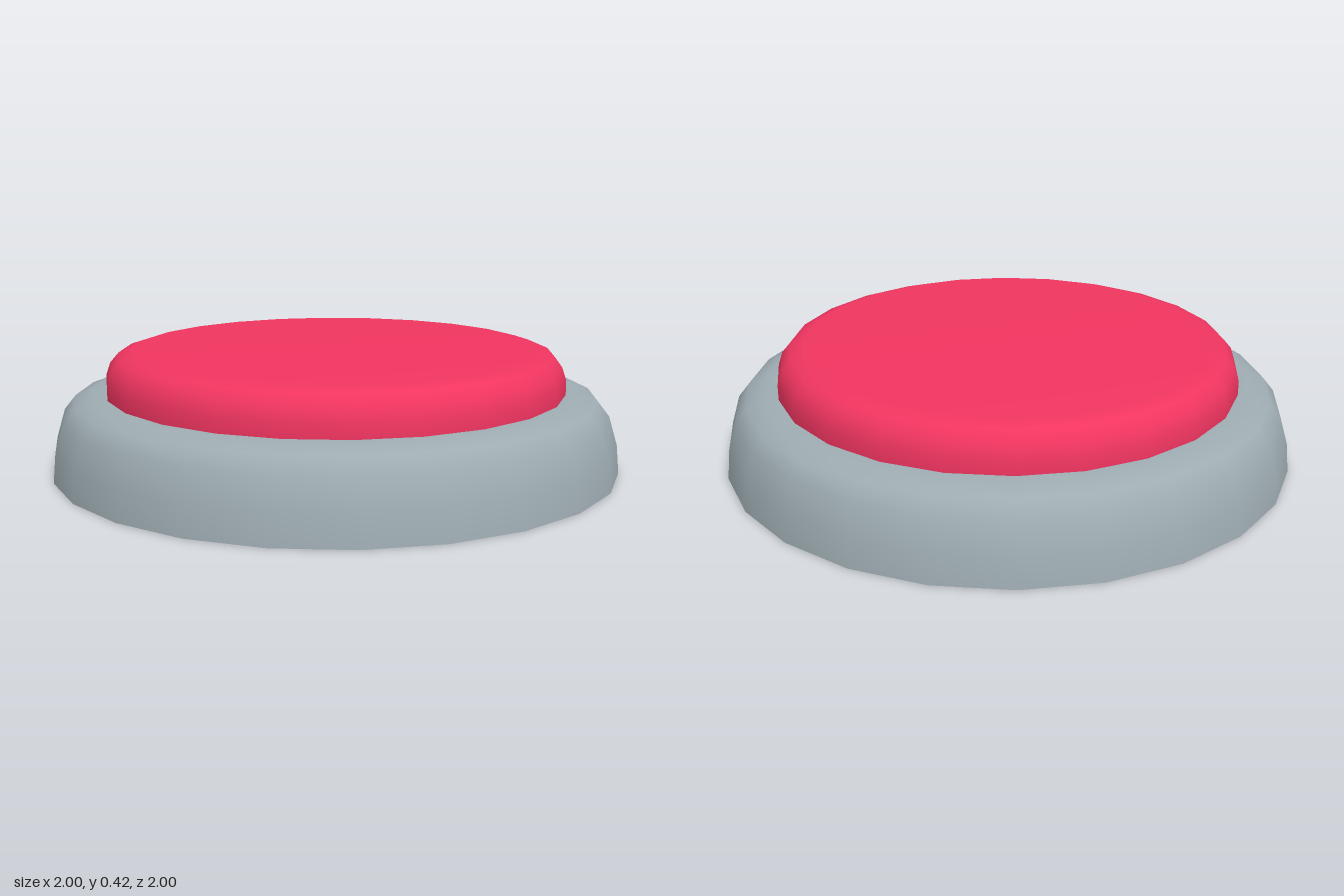
import * as THREE from 'three';

const SIDES = 24;

function lathe(name, profile, material) {
  const points = profile.map(([r, y]) => new THREE.Vector2(r, y));
  const mesh = new THREE.Mesh(new THREE.LatheGeometry(points, SIDES), material);
  mesh.name = name;
  return mesh;
}

export function createModel() {
  const group = new THREE.Group();
  group.name = 'pushButton';

  const grey = new THREE.MeshStandardMaterial({ color: 0x9eacb2, side: THREE.DoubleSide });
  const red = new THREE.MeshStandardMaterial({ color: 0xf03560 });

  // Housing: thin open shell with a rounded shoulder
  group.add(lathe('housing', [
    [1, 0], [0.99, 0.1], [0.96, 0.2], [0.92, 0.25], [0.86, 0.27], [0.8, 0.27],
  ], grey));

  // Cap: straight side, rounded edge, flat top
  group.add(lathe('cap', [
    [0.81, 0.27], [0.81, 0.32], [0.795, 0.365], [0.765, 0.4], [0.71, 0.418], [0, 0.418],
  ], red));

  // Flat underside of the cap, seen through the open housing
  const underside = new THREE.Mesh(new THREE.CircleGeometry(0.81, SIDES), red);
  underside.name = 'capUnderside';
  underside.rotation.x = Math.PI / 2;
  underside.position.y = 0.268;
  group.add(underside);

  return group;
}
